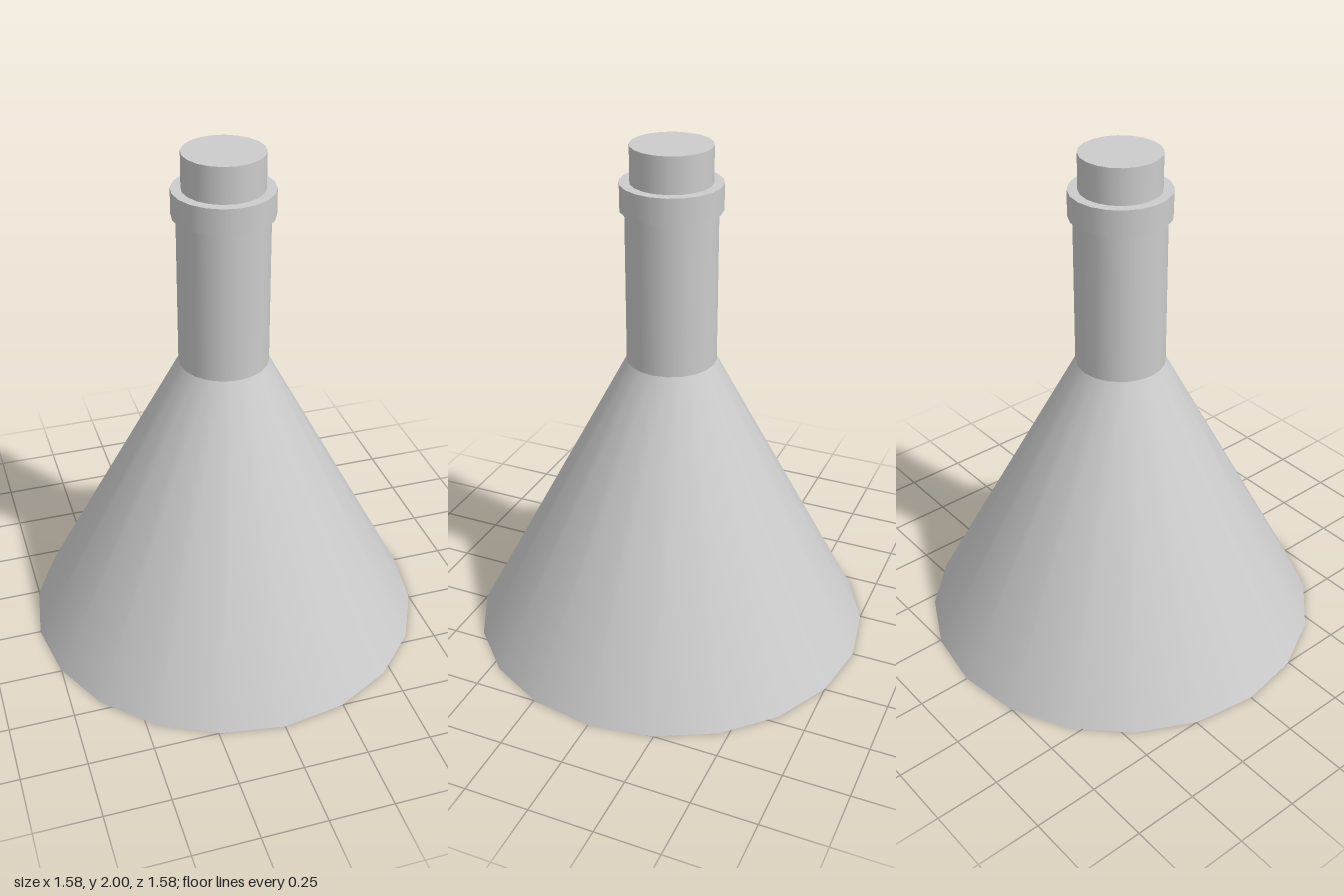
import * as THREE from 'three';

const SIDES = 20;

export function createModel() {
  const flask = new THREE.Group();
  flask.name = 'flask';
  const material = new THREE.MeshStandardMaterial({ color: 0xcccccc, side: THREE.DoubleSide });

  // Adds one round section between two heights
  function section(name, rBottom, rTop, y0, y1, open = false) {
    const geometry = new THREE.CylinderGeometry(rTop, rBottom, y1 - y0, SIDES, 1, open);
    geometry.translate(0, (y0 + y1) / 2, 0);
    const mesh = new THREE.Mesh(geometry, material);
    mesh.name = name;
    flask.add(mesh);
  }

  // Conical body with its flat base
  section('body', 0.79, 0.172, 0, 1.17);
  // Straight neck, open where it meets the body and collar
  section('neck', 0.172, 0.172, 1.17, 1.77, true);
  // Collar around the mouth
  section('collar', 0.19, 0.19, 1.763, 1.863);
  // Stopper rising out of the collar
  section('stopper', 0.152, 0.152, 1.80, 2);

  return flask;
}
